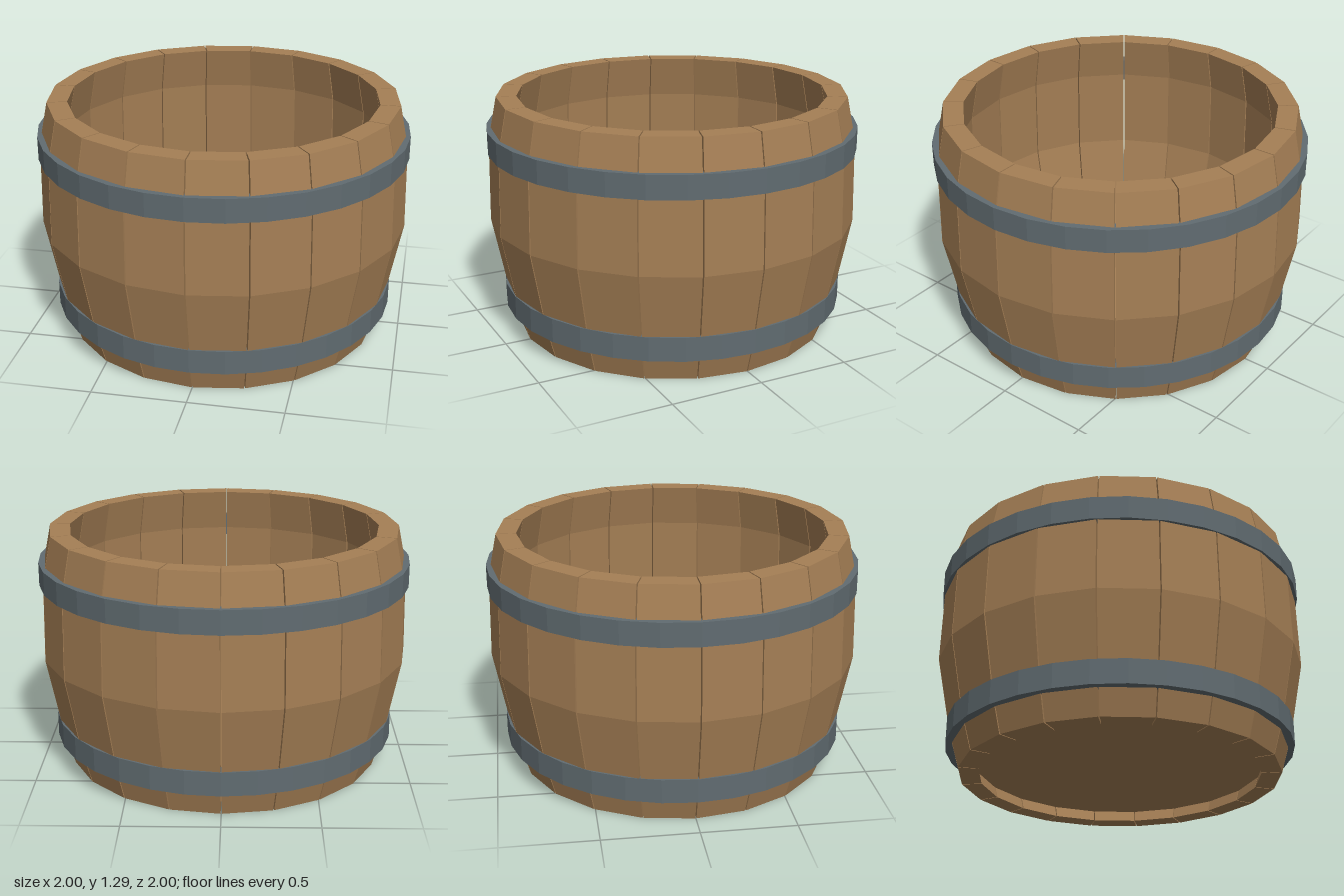
import * as THREE from 'three';

const STAVES = 20;
const WALL = 0.108;
const SEAM = 0.0035; // half the angular gap between staves

// Outer profile of a stave: [radius, height]
const PROFILE = [[0.86, 0], [0.918, 0.2], [0.998, 0.61], [0.988, 1.06], [0.94, 1.29]];

// One bent plank, skinned through its four-cornered cross-sections
function staveGeometry() {
  const a0 = SEAM, a1 = (Math.PI * 2) / STAVES - SEAM;
  const sections = PROFILE.map(([r, y]) =>
    [[r, a0], [r, a1], [r - WALL, a1], [r - WALL, a0]].map(
      ([radius, a]) => [radius * Math.sin(a), y, radius * Math.cos(a)]));
  const positions = [];
  const quad = (a, b, c, d) => positions.push(...a, ...b, ...c, ...a, ...c, ...d);

  for (let i = 0; i < sections.length - 1; i++) {
    const low = sections[i], high = sections[i + 1];
    for (let k = 0; k < 4; k++) {
      const n = (k + 1) % 4;
      quad(low[k], low[n], high[n], high[k]);
    }
  }
  quad(...sections[sections.length - 1]);
  quad(...[...sections[0]].reverse());

  const geometry = new THREE.BufferGeometry();
  geometry.setAttribute('position', new THREE.Float32BufferAttribute(positions, 3));
  geometry.computeVertexNormals();
  return geometry;
}

// Closed flat band with a rectangular section
function hoopGeometry(inner, outer, bottom, top) {
  const section = [[inner, bottom], [outer, bottom], [outer, top], [inner, top], [inner, bottom]];
  return new THREE.LatheGeometry(section.map(([r, y]) => new THREE.Vector2(r, y)), 32);
}

// Floor board cut from a disc; arcs are [start, end] angles joined by straight edges
function boardGeometry(radius, thickness, arcs) {
  const shape = new THREE.Shape();
  arcs.forEach(([start, end]) => shape.absarc(0, 0, radius, start, end, false));
  const geometry = new THREE.ExtrudeGeometry(shape, {
    depth: thickness, bevelEnabled: false, curveSegments: 12,
  });
  return geometry.rotateX(-Math.PI / 2);
}

export function createModel() {
  const wood = new THREE.MeshStandardMaterial({ color: 0xa57f55, flatShading: true });
  wood.name = 'oakWood';
  const iron = new THREE.MeshStandardMaterial({ color: 0x616c71, flatShading: true });
  iron.name = 'darkIron';

  const barrel = new THREE.Group();
  barrel.name = 'openBarrel';
  const add = (name, geometry, material, parent = barrel) => {
    const mesh = new THREE.Mesh(geometry, material);
    mesh.name = name;
    parent.add(mesh);
    return mesh;
  };

  // Wall of staves
  const wall = new THREE.Group();
  wall.name = 'staves';
  barrel.add(wall);
  const stave = staveGeometry();
  for (let i = 0; i < STAVES; i++) {
    add('stave' + (i + 1), stave, wood, wall).rotation.y = (i * Math.PI * 2) / STAVES;
  }

  // Iron hoops
  add('upperHoop', hoopGeometry(0.94, 1.0, 1.0, 1.125), iron);
  add('lowerHoop', hoopGeometry(0.87, 0.935, 0.135, 0.265), iron);

  // Floor of three boards, its rim let into the staves
  const floor = new THREE.Group();
  floor.name = 'floor';
  floor.position.y = 0.06;
  barrel.add(floor);
  const radius = 0.84, thickness = 0.14;
  const t = Math.acos(0.426 / radius);
  const boards = {
    rightBoard: [[Math.PI - t, Math.PI + t]],
    middleBoard: [[t, Math.PI - t], [Math.PI + t, Math.PI * 2 - t]],
    leftBoard: [[-t, t]],
  };
  for (const [name, arcs] of Object.entries(boards)) {
    add(name, boardGeometry(radius, thickness, arcs), wood, floor);
  }

  return barrel;
}
